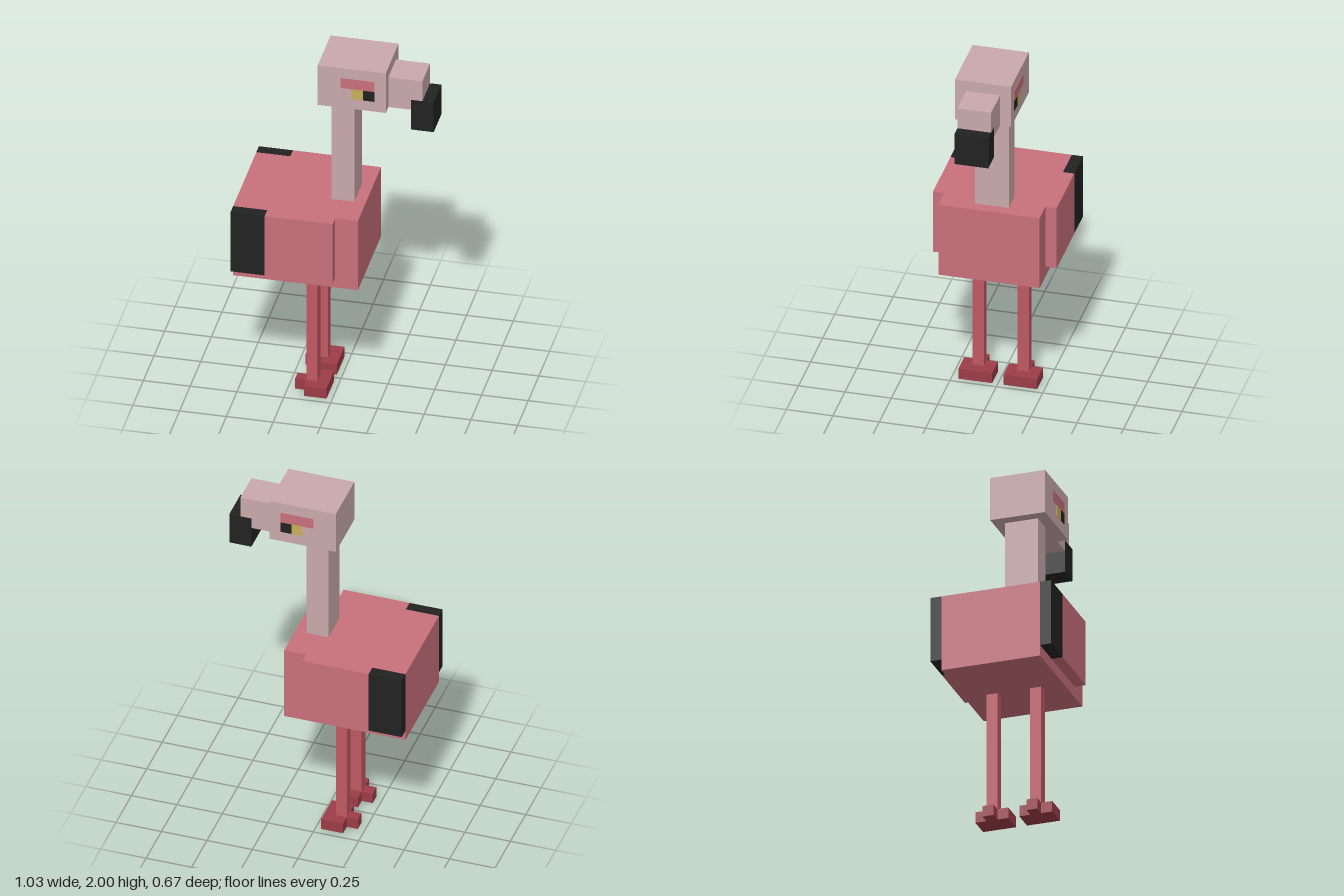
import * as THREE from 'three';

const U = 2 / 33; // one block unit; the bird is 33 units tall

const mat = (name, color) => {
  const m = new THREE.MeshStandardMaterial({ color });
  m.name = name;
  return m;
};

export function createModel() {
  const pink = mat('pink plumage', 0xc8707b);
  const pale = mat('pale pink', 0xc9a9ac);
  const red = mat('leg red', 0xc05862);
  const darkRed = mat('foot red', 0x9c3d47);
  const black = mat('black', 0x222222);
  const yellow = mat('eye yellow', 0xc8ae5a);

  const model = new THREE.Group();
  model.name = 'wadingBird';

  // Box given by its limits on each axis, in block units
  const box = (name, material, [x0, x1], [y0, y1], [z0, z1], parent = model) => {
    const g = new THREE.BoxGeometry((x1 - x0) * U, (y1 - y0) * U, (z1 - z0) * U);
    const mesh = new THREE.Mesh(g, material);
    mesh.name = name;
    mesh.position.set((x0 + x1) / 2 * U, (y0 + y1) / 2 * U, (z0 + z1) / 2 * U);
    parent.add(mesh);
    return mesh;
  };

  // Body, neck and head; the bird looks along +x
  box('body', pink, [-8.5, 2.5], [12, 19], [-4.5, 4.5]);
  box('neck', pale, [-0.5, 1.5], [19, 29], [-1.5, 1.5]);
  box('head', pale, [-1.5, 4.5], [29, 33], [-2.5, 2.5]);

  // Upper bill, notched where the black tip fits in
  const outline = [[4.5, 29], [6.5, 29], [6.5, 30], [7.5, 30], [7.5, 32], [4.5, 32]];
  const billShape = new THREE.Shape(outline.map(([x, y]) => new THREE.Vector2(x * U, y * U)));
  const billGeo = new THREE.ExtrudeGeometry(billShape, { depth: 3 * U, bevelEnabled: false });
  const bill = new THREE.Mesh(billGeo.translate(0, 0, -1.5 * U), pale);
  bill.name = 'upperBill';
  model.add(bill);
  box('billTip', black, [6.5, 8.5], [27, 30], [-1.5, 1.5]);

  // Paired parts
  for (const [side, s] of [['left', 1], ['right', -1]]) {
    const z = (a, b) => (s > 0 ? [a, b] : [-b, -a]);

    const wing = new THREE.Group();
    wing.name = side + 'Wing';
    box('wingFront', pink, [-5.5, 0.5], [13, 19], z(4.5, 5.5), wing);
    box('wingTip', black, [-8.5, -5.5], [13, 19], z(4.5, 5.5), wing);

    const leg = new THREE.Group();
    leg.name = side + 'Leg';
    box('shank', red, [-2.5, -1.5], [1, 12], z(1.5, 2.5), leg);
    box('foot', darkRed, [-2.5, -0.5], [0, 1], z(0.5, 3.5), leg);
    box('backToe', darkRed, [-3.5, -2.5], [0, 1], z(1.5, 2.5), leg);

    // Thin painted plates on the cheek
    const eye = new THREE.Group();
    eye.name = side + 'Eye';
    const plate = z(2.48, 2.53);
    box('brow', pink, [0.5, 3.5], [31, 32], plate, eye);
    box('iris', yellow, [1.5, 2.5], [30, 31], plate, eye);
    box('pupil', black, [2.5, 3.5], [30, 31], plate, eye);

    model.add(wing, leg, eye);
  }
  return model;
}
